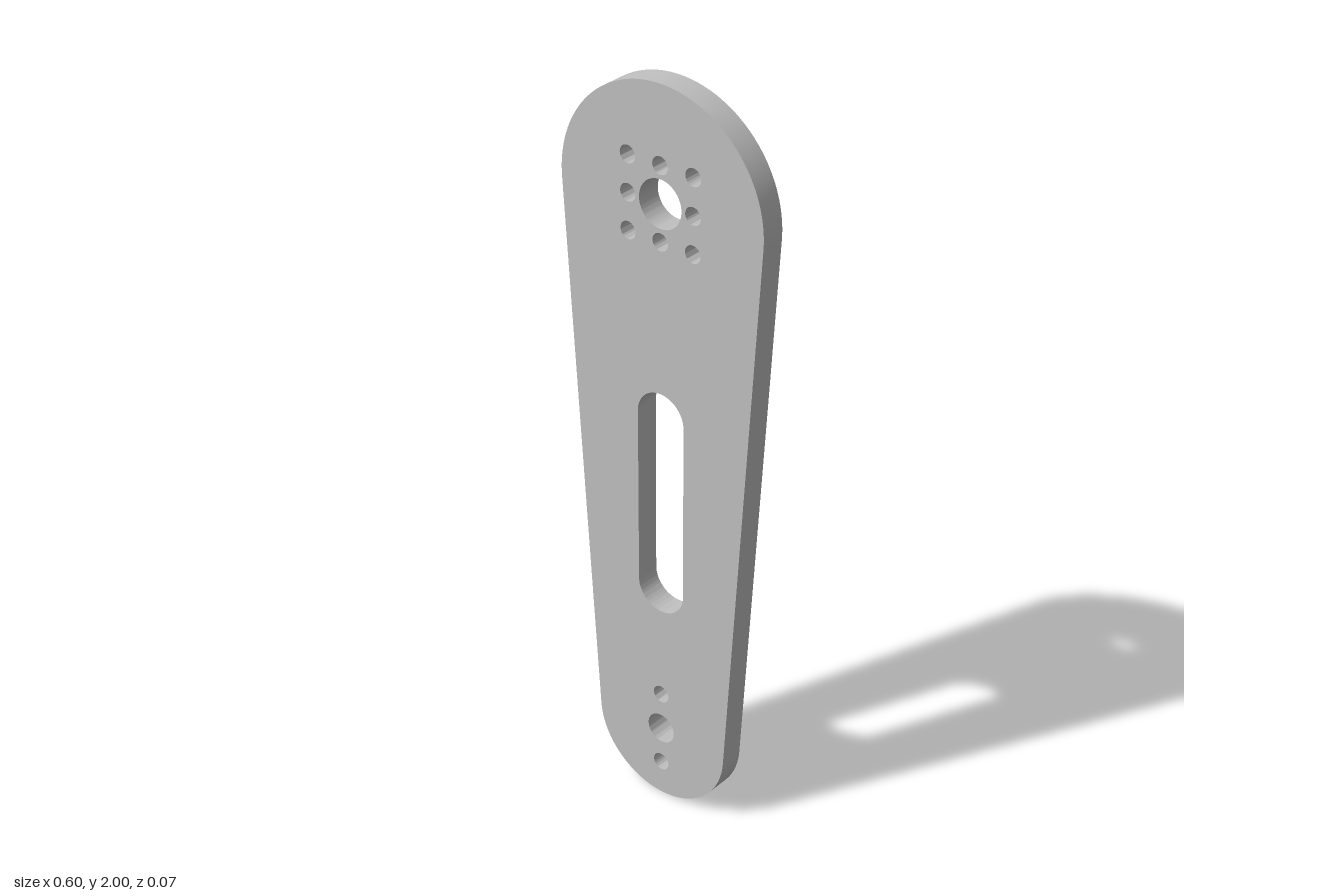
import * as THREE from 'three';
import { toCreasedNormals } from 'three/addons/utils/BufferGeometryUtils.js';

const THICKNESS = 0.067;

// Closed outline around two circles on the y axis, joined by their tangents
function capsule(Type, yTop, rTop, yBottom, rBottom) {
  const a = Math.asin((rBottom - rTop) / (yTop - yBottom));
  const outline = new Type();
  outline.absarc(0, yTop, rTop, a, Math.PI - a, false);
  outline.absarc(0, yBottom, rBottom, Math.PI - a, 2 * Math.PI + a, false);
  outline.closePath();
  return outline;
}

function hole(x, y, r) {
  return new THREE.Path().absarc(x, y, r, 0, Math.PI * 2, false);
}

export function createModel() {
  const group = new THREE.Group();
  group.name = 'leverArm';
  const greyMetal = new THREE.MeshStandardMaterial({ color: 0xc0c0c0 });
  greyMetal.name = 'greyMetal';

  // Tapered plate with rounded ends
  const plate = capsule(THREE.Shape, 1.7, 0.3, 0.204, 0.204);

  // Long slot in the middle
  plate.holes.push(capsule(THREE.Path, 1.129, 0.071, 0.643, 0.071));

  // Large bore with a square ring of eight screw holes
  plate.holes.push(hole(0, 1.702, 0.063));
  for (const i of [-1, 0, 1]) {
    for (const j of [-1, 0, 1]) {
      if (i || j) plate.holes.push(hole(i * 0.097, 1.702 + j * 0.097, 0.023));
    }
  }

  // Small bore with a screw hole above and below
  plate.holes.push(hole(0, 0.206, 0.042));
  for (const s of [-1, 1]) plate.holes.push(hole(0, 0.206 + s * 0.108, 0.024));

  const geometry = new THREE.ExtrudeGeometry(plate, {
    depth: THICKNESS, bevelEnabled: false, curveSegments: 40,
  });
  geometry.translate(0, 0, -THICKNESS / 2);

  const mesh = new THREE.Mesh(toCreasedNormals(geometry, Math.PI / 6), greyMetal);
  mesh.name = 'armPlate';
  group.add(mesh);
  return group;
}
